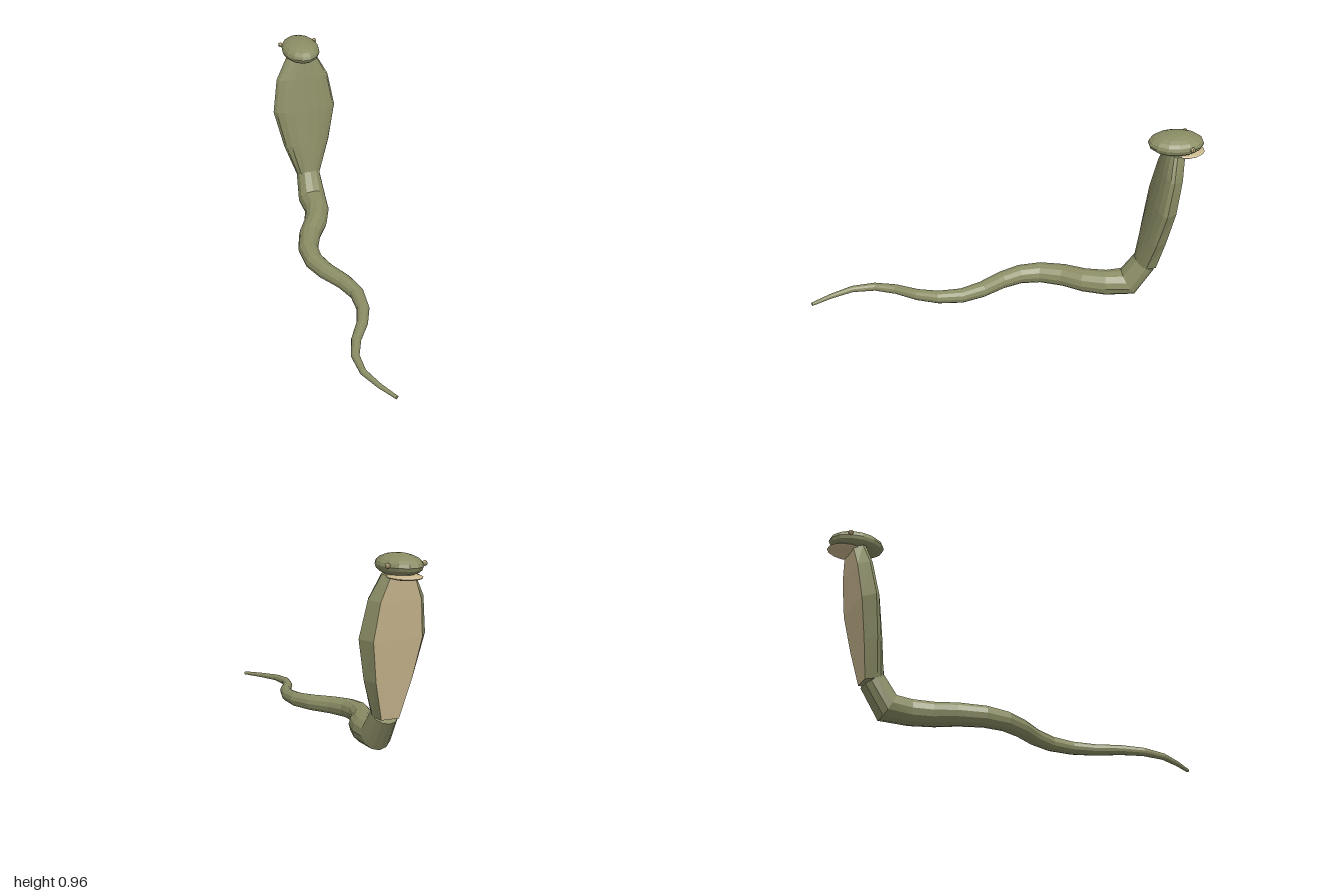
import * as THREE from 'three';

const V = (x, y, z) => new THREE.Vector3(x, y, z);
const NECK_X = 0.0125;

// Skin between rings of equal length; keep(i) selects which strips are built
function loft(rings, keep = () => true, caps = true) {
  const out = [];
  const tri = (...pts) => pts.forEach(p => out.push(p.x, p.y, p.z));
  const n = rings[0].length;
  for (let r = 0; r < rings.length - 1; r++) {
    const a = rings[r], b = rings[r + 1];
    for (let i = 0; i < n; i++) {
      if (!keep(i)) continue;
      const j = (i + 1) % n;
      tri(a[i], a[j], b[j]);
      tri(a[i], b[j], b[i]);
    }
  }
  if (caps) {
    const first = rings[0], last = rings[rings.length - 1];
    for (let i = 1; i < n - 1; i++) {
      tri(first[0], first[i + 1], first[i]);
      tri(last[0], last[i], last[i + 1]);
    }
  }
  const g = new THREE.BufferGeometry();
  g.setAttribute('position', new THREE.Float32BufferAttribute(out, 3));
  g.computeVertexNormals();
  return g;
}

// Tapering tube lying on the ground, with the neck bent upward at the end
function bodyGeometry() {
  const radius = z => THREE.MathUtils.mapLinear(z, 1, -0.66, 0.009, 0.07);
  const trail = [
    [-0.035, 1], [-0.09, 0.9], [-0.135, 0.79], [-0.138, 0.67], [-0.1, 0.56],
    [-0.035, 0.45], [0.003, 0.34], [0.008, 0.22], [-0.03, 0.11], [-0.095, 0],
    [-0.132, -0.1], [-0.132, -0.21], [-0.09, -0.33], [-0.03, -0.43], [0.008, -0.54],
  ];
  const centres = trail.map(([x, z]) => V(x, radius(z), z));
  const radii = trail.map(([, z]) => radius(z));
  centres.push(V(NECK_X, 0.07, -0.655), V(NECK_X, 0.19, -0.735));
  radii.push(0.076, 0.065);
  const last = centres.length - 1;
  const rings = centres.map((c, k) => {
    const before = c.clone().sub(centres[Math.max(k - 1, 0)]).normalize();
    const after = centres[Math.min(k + 1, last)].clone().sub(c).normalize();
    const t = before.add(after).normalize();
    const u = t.clone().cross(V(0, 1, 0)).normalize();
    const v = t.clone().cross(u);
    return Array.from({ length: 12 }, (_, i) => {
      const a = i / 12 * Math.PI * 2;
      const p = c.clone().addScaledVector(u, Math.cos(a) * radii[k])
        .addScaledVector(v, Math.sin(a) * radii[k]);
      p.y = Math.max(p.y, 0);
      return p;
    });
  });
  return loft(rings);
}

// Hood cross-sections: flat belly in front, half ellipse behind
function hoodRings() {
  const front = V(0, -0.162, -0.987);
  // height, half width, front depth, back depth
  const stations = [
    [0.185, 0.063, 0.055, 0.057],
    [0.37, 0.127, 0.056, 0.054],
    [0.57, 0.172, 0.056, 0.051],
    [0.75, 0.143, 0.05, 0.046],
    [0.865, 0.083, 0.043, 0.041],
  ];
  return stations.map(([y, w, f, b]) => {
    const c = V(NECK_X, y, THREE.MathUtils.mapLinear(y, 0.185, 0.865, -0.735, -0.847));
    const at = (x, d) => c.clone().add(V(x, 0, 0)).addScaledVector(front, d);
    const ring = [at(w, 0), at(w * 0.73, f), at(-w * 0.73, f)];
    for (let i = 0; i < 8; i++) {
      const a = Math.PI * (1 + i / 8);
      ring.push(at(Math.cos(a) * w, Math.sin(a) * b));
    }
    return ring;
  });
}

export function createModel() {
  const group = new THREE.Group();
  const material = (name, color) => {
    const m = new THREE.MeshStandardMaterial({ color, flatShading: true });
    m.name = name;
    return m;
  };
  const scales = material('olive scales', 0x8b8d65);
  const belly = material('pale belly', 0xcab78f);
  const eyeTone = material('eye tan', 0xb5a676);

  const add = (name, geometry, mat) => {
    const mesh = new THREE.Mesh(geometry, mat);
    mesh.name = name;
    group.add(mesh);
    return mesh;
  };
  const ellipsoid = (name, mat, centre, size, w = 14, h = 10) => {
    const mesh = add(name, new THREE.SphereGeometry(1, w, h), mat);
    mesh.position.set(...centre);
    mesh.scale.set(...size);
    return mesh;
  };

  add('body', bodyGeometry(), scales);

  // Hood and its pale front panel
  const rings = hoodRings();
  add('hood', loft(rings, i => i !== 1), scales);
  add('bellyPanel', loft(rings, i => i === 1, false), belly);

  // Head, lower jaw and eyes
  ellipsoid('head', scales, [NECK_X, 0.904, -0.853], [0.1, 0.052, 0.14]);
  ellipsoid('lowerJaw', belly, [NECK_X, 0.856, -0.9], [0.08, 0.014, 0.1], 14, 8);
  for (const side of [-1, 1]) {
    ellipsoid(side > 0 ? 'leftEye' : 'rightEye', eyeTone,
      [NECK_X + side * 0.094, 0.912, -0.917], [0.013, 0.013, 0.013], 8, 6);
  }
  return group;
}
